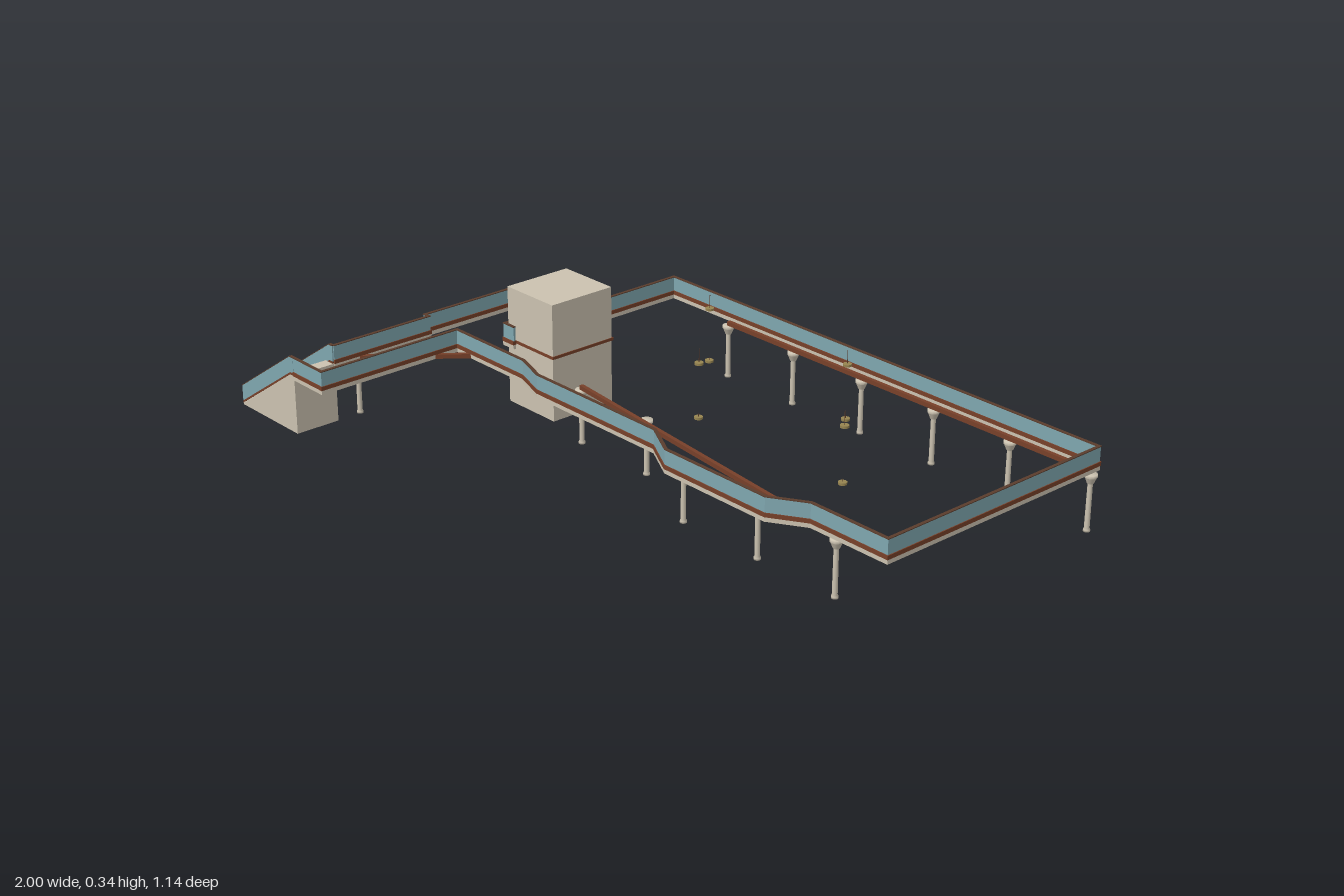
import * as THREE from 'three';

const mat = (name, color) => {
  const m = new THREE.MeshStandardMaterial({ color });
  m.name = name;
  return m;
};

export function createModel() {
  const root = new THREE.Group();
  root.name = 'elevatedWalkway';
  const stone = mat('stone', 0xcbc2b0);
  const wood = mat('redBrownWood', 0x774029);
  const panel = mat('tealPanel', 0x7fa6af);
  const trim = mat('darkTrim', 0x5a3c2c);
  const bronze = mat('bronze', 0x968450);

  const add = (name, geo, material, parent = root) => {
    const m = new THREE.Mesh(geo, material);
    m.name = name;
    parent.add(m);
    return m;
  };
  const box = (name, x0, x1, y0, y1, z0, z1, material) => {
    const m = add(name, new THREE.BoxGeometry(x1 - x0, y1 - y0, z1 - z0), material);
    m.position.set((x0 + x1) / 2, (y0 + y1) / 2, (z0 + z1) / 2);
  };

  // Mitred strip of constant width following an [x, z] path
  const strip = (path, width, y0, y1) => {
    const pts = path.map(([x, z]) => new THREE.Vector2(x, -z));
    const sides = [[], []];
    pts.forEach((p, i) => {
      const a = p.clone().sub(pts[Math.max(i - 1, 0)]);
      const b = pts[Math.min(i + 1, pts.length - 1)].clone().sub(p);
      if (i === 0) a.copy(b);
      if (i === pts.length - 1) b.copy(a);
      a.normalize();
      b.normalize();
      const n1 = new THREE.Vector2(-a.y, a.x);
      const n2 = new THREE.Vector2(-b.y, b.x);
      const miter = n1.clone().add(n2).normalize();
      miter.multiplyScalar(width / 2 / miter.dot(n1));
      sides[0].push(p.clone().add(miter));
      sides[1].push(p.clone().sub(miter));
    });
    const shape = new THREE.Shape([...sides[0], ...sides[1].reverse()]);
    const geo = new THREE.ExtrudeGeometry(shape, { depth: y1 - y0, bevelEnabled: false });
    return geo.rotateX(-Math.PI / 2).translate(0, y0, 0);
  };

  // Deck edge and parapet, stacked in layers
  const paths = {
    mainParapet: [
      [-0.53, -0.207], [-0.53, -0.564], [0.98, -0.564], [0.98, 0.163], [0.742, 0.163],
      [0.65, 0.219], [0.31, 0.219], [0.208, 0.163], [-0.24, 0.163], [-0.338, 0.13],
      [-0.62, 0.13], [-0.62, 0.564], [-0.745, 0.564],
    ],
    sideParapet: [
      [-0.745, 0.441], [-0.745, 0.13], [-0.762, 0.13], [-0.762, -0.254],
      [-0.573, -0.254], [-0.573, -0.165],
    ],
    doorParapet: [[-0.571, -0.09], [-0.571, 0.007], [-0.53, 0.007]],
  };
  for (const [name, path] of Object.entries(paths)) {
    const g = new THREE.Group();
    g.name = name;
    root.add(g);
    add('fascia', strip(path, 0.008, 0.164, 0.176), stone, g);
    add('deckEdge', strip(path, 0.011, 0.176, 0.187), wood, g);
    add('railPanel', strip(path, 0.006, 0.187, 0.226), panel, g);
    add('railCap', strip(path, 0.009, 0.226, 0.228), trim, g);
  }

  // Lift tower with a band at deck level
  box('tower', -0.566, -0.38, 0, 0.331, -0.204, -0.001, stone);
  box('towerBand', -0.568, -0.378, 0.178, 0.186, -0.209, 0.001, wood);

  // Columns with flared capitals
  const columnGeo = new THREE.LatheGeometry(
    [[0, 0.011], [0.009, 0.011], [0.009, 0.016], [0.007, 0.02], [0.0065, 0.137],
      [0.009, 0.14], [0.015, 0.155], [0.0165, 0.156], [0.0165, 0.164], [0, 0.164]]
      .map(([x, y]) => new THREE.Vector2(x, y)), 12);
  const columns = [
    ...[0, 1, 2, 3, 4, 5].map((i) => [-0.278 + i * 0.252, -0.538]),
    [-0.208, 0.046], [0.045, 0.046], [0.305, 0.157], [0.563, 0.157], [0.818, 0.157], [-0.75, 0.363],
  ];
  for (const [x, z] of columns) add('column', columnGeo, stone).position.set(x, 0, z);

  // Beams under the deck
  const beams = [
    [[-0.278, -0.538], [0.98, -0.538]],
    [[-0.208, 0.046], [0.818, 0.157]],
    [[-0.75, 0.363], [-0.543, 0.107]],
  ];
  for (const b of beams) add('beam', strip(b, 0.011, 0.164, 0.176), wood);

  // Hanging lamps, one above and one below the deck
  const disc = new THREE.CylinderGeometry(0.0115, 0.0115, 0.006, 12);
  for (const [x, z] of [[-0.147, -0.345], [0.356, -0.345], [0.105, -0.075], [0.61, -0.075]]) {
    for (const [y, len] of [[0.301, 0.039], [0.153, 0.011]]) {
      const lamp = new THREE.Group();
      lamp.name = 'hangingLamp';
      lamp.position.set(x, y, z);
      root.add(lamp);
      add('lampDisc', disc, bronze, lamp);
      add('lampRod', new THREE.CylinderGeometry(0.0008, 0.0008, len, 6), trim, lamp).position.y = len / 2;
    }
  }

  // Solid staircase
  const extrudeZ = (pts, z0, z1) => new THREE.ExtrudeGeometry(
    new THREE.Shape(pts.map(([x, y]) => new THREE.Vector2(x, y))),
    { depth: z1 - z0, bevelEnabled: false }).translate(0, 0, z0);
  const steps = 14;
  const bottom = 0.012;
  const rise = 0.164 / steps;
  const profile = [[-0.743, bottom], [-0.743, 0.176]];
  for (let i = steps; i > 0; i--) {
    const x = -1 + (i - 1) * (0.24 / steps);
    profile.push([x, bottom + i * rise], [x, bottom + (i - 1) * rise]);
  }
  add('stairs', extrudeZ(profile, 0.438, 0.567), stone);
  box('landingEdge', -0.746, -0.742, 0.161, 0.164, 0.443, 0.545, wood);

  // Sloping parapets on both sides of the stairs
  const slope = (lo, hi) => [
    [-1, 0.017 + lo], [-0.76, 0.176 + lo], [-0.745, 0.176 + lo],
    [-0.745, 0.176 + hi], [-0.76, 0.176 + hi], [-1, 0.017 + hi],
  ];
  for (const z of [0.441, 0.564]) {
    add('stairEdge', extrudeZ(slope(0, 0.006), z - 0.004, z + 0.004), wood);
    add('stairPanel', extrudeZ(slope(0.006, 0.05), z - 0.0035, z + 0.0035), panel);
    add('stairCap', extrudeZ(slope(0.05, 0.052), z - 0.0045, z + 0.0045), trim);
  }
  return root;
}
